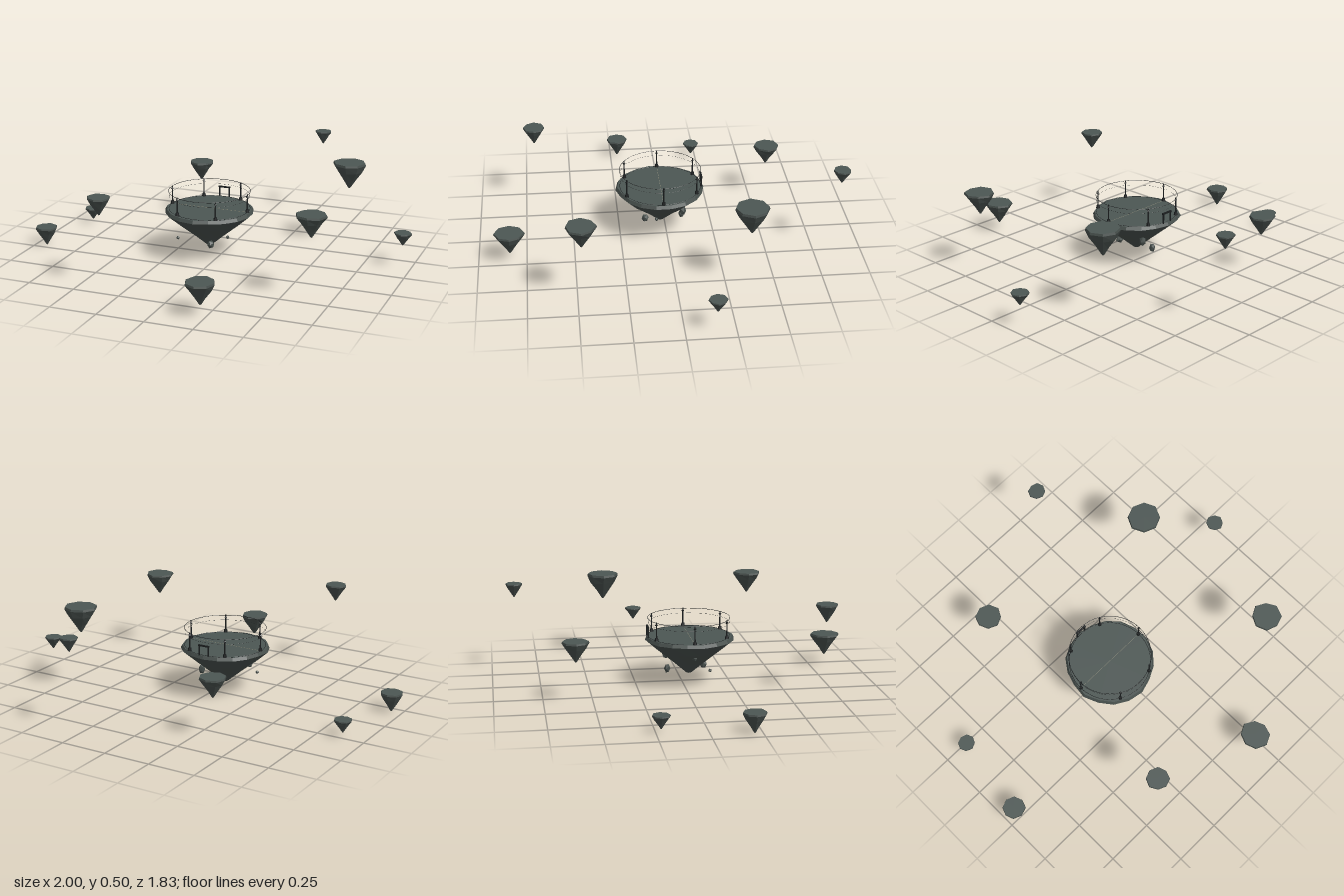
import * as THREE from 'three';

const mat = (name, color, extra = {}) => Object.assign(new THREE.MeshStandardMaterial({ color, flatShading: true, ...extra }), { name });

// repeatable noise from two indices
const noise = (a, b) => {
  const s = Math.sin(a * 127.1 + b * 311.7) * 43758.5453;
  return (s - Math.floor(s)) * 2 - 1;
};

// faceted solid of revolution, roughened ring by ring
function roughLathe(profile, sides, seed, rough) {
  const geo = new THREE.LatheGeometry(profile.map(p => new THREE.Vector2(p[0], p[1])), sides);
  const pos = geo.attributes.position, n = profile.length;
  for (let i = 0; i < pos.count; i++) {
    const ring = profile[i % n][2], col = Math.floor(i / n) % sides;
    const k = 1 + rough * noise(seed + col, ring);
    pos.setX(i, pos.getX(i) * k);
    pos.setZ(i, pos.getZ(i) * k);
  }
  const flat = geo.toNonIndexed();
  flat.computeVertexNormals();
  return flat;
}

export function createModel() {
  const model = new THREE.Group();
  model.name = 'floatingIslands';
  const rock = mat('rock', 0x454d4a);
  const ground = mat('ground', 0x4c5653);
  const metal = mat('darkMetal', 0x1b1e1f);
  const pale = mat('paleInlay', 0x8a8a78);

  const add = (parent, name, geo, material, x = 0, y = 0, z = 0) => {
    const m = new THREE.Mesh(geo, material);
    m.name = name;
    m.position.set(x, y, z);
    parent.add(m);
    return m;
  };

  // inverted rocky cone with a flat top; origin at the top centre
  function island(name, x, z, top, bottom, r, sides, seed, rough) {
    const g = new THREE.Group(), h = top - bottom;
    g.name = name;
    g.position.set(x, top, z);
    add(g, 'rockUnderside', roughLathe([
      [0, -h, 0], [r * 0.07, -h * 0.97, 1], [r * 0.37, -h * 0.68, 2],
      [r * 0.74, -h * 0.34, 3], [r, -h * 0.08, 4], [r * 0.96, 0, 4],
    ], sides, seed, rough), rock);
    add(g, 'flatTop', roughLathe([[r * 0.96, 0, 4], [0, 0, 0]], sides, seed, rough), ground);
    model.add(g);
    return g;
  }

  // outer islands: x, z, top, bottom, radius
  [
    [0.29, -0.87, 0.495, 0.42, 0.046], [-0.35, -0.585, 0.325, 0.215, 0.068],
    [0.595, -0.365, 0.475, 0.33, 0.09], [-0.875, -0.225, 0.09, 0.02, 0.045],
    [0.95, -0.155, 0.19, 0.12, 0.046], [-0.94, 0.21, 0.105, 0, 0.06],
    [0.65, 0.475, 0.45, 0.33, 0.077], [-0.375, 0.69, 0.48, 0.385, 0.06],
    [0.22, 0.835, 0.175, 0.055, 0.077],
  ].forEach(([x, z, top, bottom, r], i) => island('outerIsland' + (i + 1), x, z, top, bottom, r, 8, i * 9 + 3, 0.06));

  // main island and its platform
  const main = island('mainIsland', -0.055, 0.03, 0.262, 0.055, 0.234, 18, 101, 0.025);
  const inlay = add(main, 'groundSeam', new THREE.BoxGeometry(0.4, 0.001, 0.0015), pale, 0, 0.0008, 0);
  inlay.material = pale;
  const ring = (name, r, tube, y) => {
    add(main, name, new THREE.TorusGeometry(r, tube, 4, 48), metal, 0, y, 0).rotation.x = Math.PI / 2;
  };
  ring('rimTrim', 0.215, 0.0012, 0.001);
  ring('lowerCable', 0.213, 0.0005, 0.07);
  ring('topRail', 0.216, 0.0013, 0.096);

  // six railing posts with foot and collar
  for (let i = 0; i < 6; i++) {
    const post = new THREE.Group(), a = i * Math.PI / 3;
    post.name = 'railPost' + (i + 1);
    post.position.set(0.213 * Math.cos(a), 0, 0.213 * Math.sin(a));
    add(post, 'shaft', new THREE.CylinderGeometry(0.003, 0.004, 0.1, 6), metal, 0, 0.049, 0);
    add(post, 'foot', new THREE.CylinderGeometry(0.008, 0.011, 0.016, 6), metal, 0, 0.008, 0);
    add(post, 'collar', new THREE.OctahedronGeometry(0.008), metal, 0, 0.084, 0);
    main.add(post);
  }

  // gate at the back edge
  const gate = new THREE.Group();
  gate.name = 'gate';
  gate.position.set(0, 0, -0.218);
  for (const s of [-1, 1]) add(gate, 'gatePost', new THREE.BoxGeometry(0.006, 0.055, 0.008), metal, s * 0.027, 0.026, 0);
  add(gate, 'lintel', new THREE.BoxGeometry(0.066, 0.007, 0.01), metal, 0, 0.053, 0);
  main.add(gate);

  // loose stones drifting below: x, y, z, radius, stretch
  [
    [-0.2, 0.105, 0.12, 0.009, 1.1], [-0.015, 0.09, 0.115, 0.02, 1.15],
    [0.06, 0.122, 0.06, 0.009, 1.2], [0.02, 0.145, -0.085, 0.018, 1.5],
    [-0.055, 0.085, -0.085, 0.017, 1.5], [-0.2, 0.175, 0.04, 0.014, 1.4],
  ].forEach(([x, y, z, r, stretch], i) => {
    const stone = add(model, 'driftingStone' + (i + 1), new THREE.IcosahedronGeometry(r, 0), rock, x, y, z);
    stone.scale.y = stretch;
    stone.rotation.y = i * 1.3;
  });

  return model;
}
